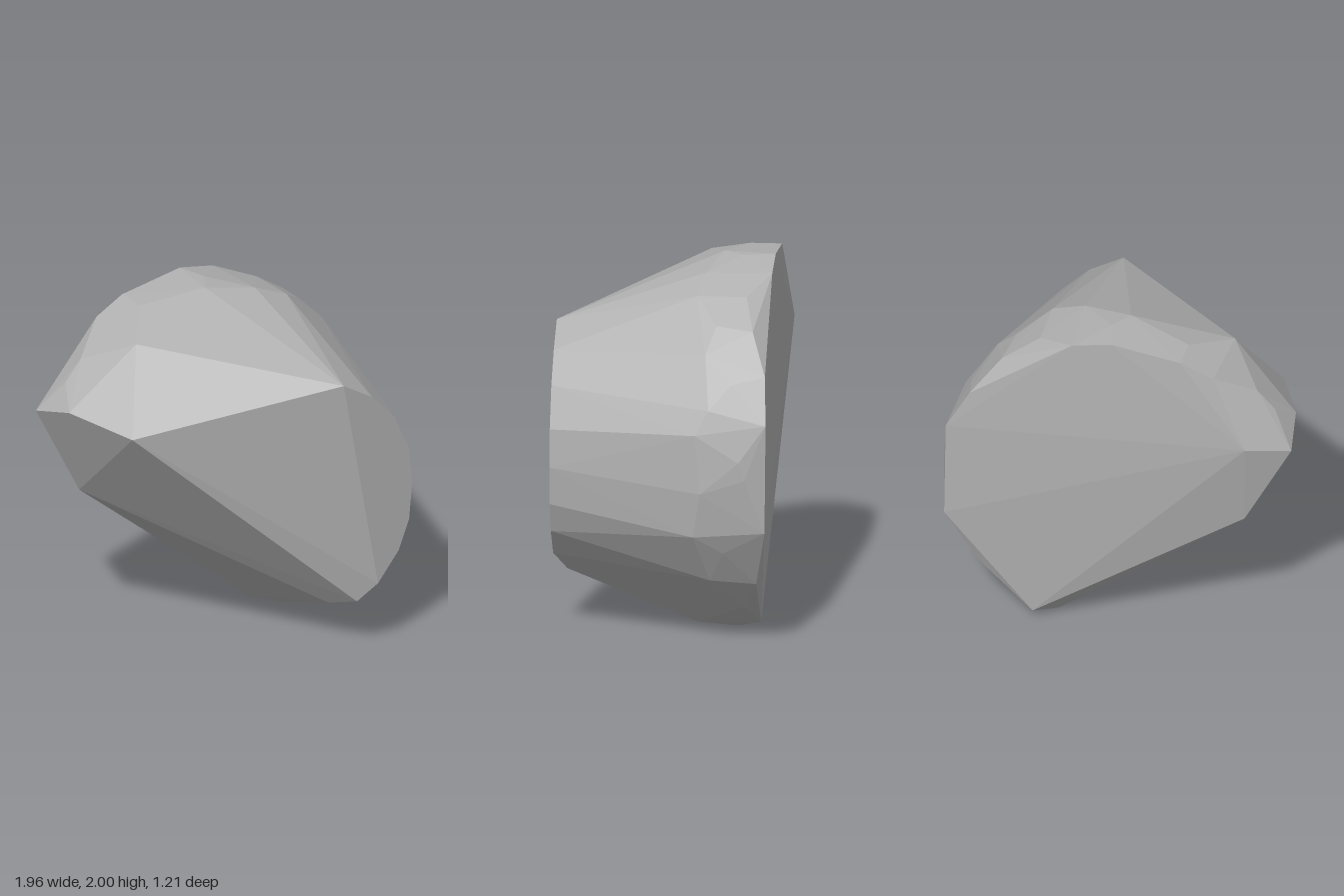
import * as THREE from 'three';
import { ConvexGeometry } from 'three/addons/geometries/ConvexGeometry.js';

// Rim of the small flat front face, top to bottom
const frontRim = [
  [0.26, 1.67, 0.6], [0.45, 1.55, 0.6], [0.6, 1.39, 0.6], [0.7, 1.17, 0.6], [0.72, 0.96, 0.6],
  [0.7, 0.75, 0.6], [0.63, 0.58, 0.6], [0.49, 0.42, 0.6], [0.4, 0.31, 0.53], [0.34, 0.25, 0.35],
];

// Widest band of the rounded side, from the upper right end around to the bottom
const shoulder = [
  [-0.78, 1.44, 0.08], [-0.94, 1.51, -0.28], [-0.57, 1.86, -0.17], [-0.02, 2, -0.29],
  [0.26, 1.95, -0.21], [0.45, 1.87, -0.18], [0.62, 1.75, -0.3], [0.74, 1.62, -0.25],
  [0.91, 1.35, -0.28], [0.95, 1.22, -0.21], [0.98, 1.08, -0.45], [0.98, 0.9, -0.24],
  [0.95, 0.65, -0.2], [0.8, 0.37, -0.28], [0.64, 0.18, -0.45], [0.41, 0.03, -0.18], [0.36, 0, -0.4],
];

// Chamfer points just in front of the back face
const chamfer = [
  [-0.86, 1.62, -0.42], [-0.76, 1.73, -0.42], [-0.37, 1.95, -0.4], [0.06, 2, -0.4],
  [0.45, 1.87, -0.45], [0.65, 1.73, -0.5], [0.84, 1.48, -0.4], [0.98, 0.98, -0.48],
  [0.95, 0.78, -0.54], [0.9, 0.55, -0.36],
];

// Rim of the broad, nearly flat back face
const backRim = [
  [-0.98, 1.44, -0.53], [-0.74, 1.45, -0.605], [-0.55, 1.87, -0.56], [-0.37, 1.95, -0.57],
  [0.02, 2, -0.57], [0.24, 1.95, -0.57], [0.81, 1.52, -0.58], [0.94, 1.28, -0.595],
  [0.95, 0.68, -0.59], [0.78, 0.35, -0.53], [0.47, 0.055, -0.53], [-0.71, 0.9, -0.5],
];

export function createModel() {
  const stone = new THREE.MeshStandardMaterial({ color: 0xb0b0b0 });
  stone.name = 'stone grey';
  const points = [...frontRim, ...shoulder, ...chamfer, ...backRim]
    .map((p) => new THREE.Vector3(...p));

  // Faceted solid stretched over the four rings
  const rock = new THREE.Mesh(new ConvexGeometry(points), stone);
  rock.name = 'rock';

  const model = new THREE.Group();
  model.name = 'facetedRock';
  model.add(rock);
  return model;
}
